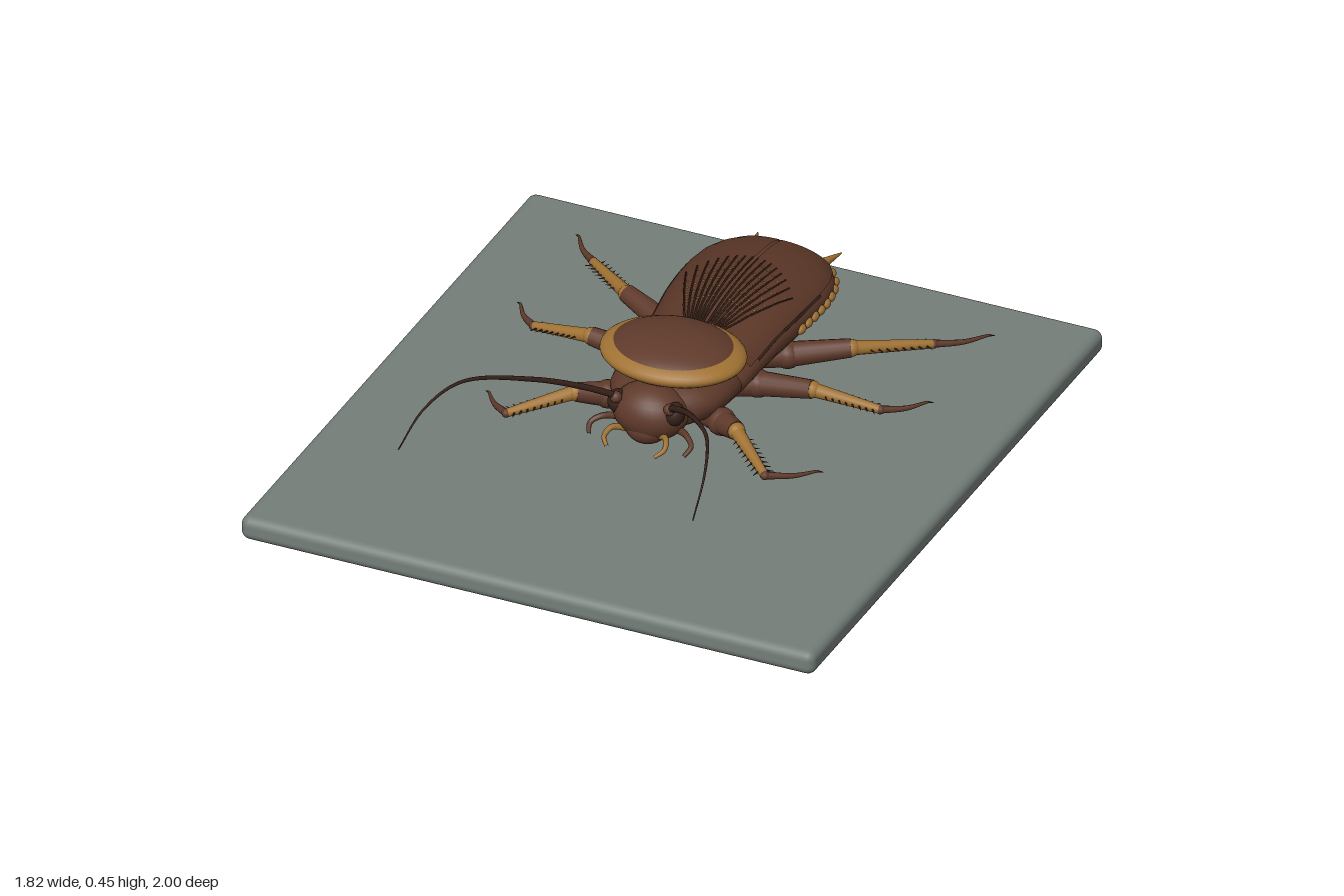
import * as THREE from 'three';
import { RoundedBoxGeometry } from 'three/addons/geometries/RoundedBoxGeometry.js';

const V = (x, y, z) => new THREE.Vector3(x, y, z);
const mat = (name, color) => Object.assign(new THREE.MeshStandardMaterial({ color }), { name });

// Body stations: z, half width, bottom, top
const ABDOMEN = [
  [0.02, 0.15, 0.14, 0.25], [-0.1, 0.185, 0.125, 0.268], [-0.2, 0.187, 0.12, 0.275], [-0.3, 0.197, 0.12, 0.3],
  [-0.4, 0.21, 0.12, 0.312], [-0.5, 0.217, 0.12, 0.314], [-0.58, 0.219, 0.122, 0.31], [-0.65, 0.211, 0.126, 0.302],
  [-0.7, 0.193, 0.13, 0.292], [-0.74, 0.165, 0.14, 0.279], [-0.77, 0.125, 0.155, 0.263], [-0.785, 0.078, 0.175, 0.24],
  [-0.79, 0.001, 0.205, 0.207]];
const THORAX = [
  [0.155, 0.001, 0.2, 0.202], [0.15, 0.08, 0.16, 0.25], [0.125, 0.13, 0.14, 0.27], [0.07, 0.165, 0.13, 0.28],
  [0, 0.18, 0.125, 0.285], [-0.08, 0.185, 0.125, 0.275], [-0.1, 0.16, 0.14, 0.26], [-0.105, 0.001, 0.2, 0.202]];

// Point on the oval cross-section of a station
function ring([z, w, lo, hi], t, lift = 0) {
  const c = Math.cos(t), s = Math.sin(t), h = (hi - lo) / 2;
  return V((w + lift) * Math.sign(c) * Math.abs(c) ** 0.9, (lo + hi) / 2 + (h + lift) * s, z);
}

function stationAt(z) {
  let i = 0;
  while (i < ABDOMEN.length - 2 && ABDOMEN[i + 1][0] > z) i++;
  const a = ABDOMEN[i], b = ABDOMEN[i + 1], k = (z - a[0]) / (b[0] - a[0]);
  return a.map((v, j) => v + (b[j] - v) * k);
}

// Skin a row of stations, closed all round or over an angle range
function loft(stations, t0 = 0, t1 = Math.PI * 2, lift = 0, n = 32) {
  const closed = t1 - t0 > 6.2, cols = closed ? n : n + 1, pos = [], idx = [];
  stations.forEach(s => {
    for (let j = 0; j < cols; j++) pos.push(...ring(s, t0 + (t1 - t0) * j / n, lift).toArray());
  });
  for (let i = 0; i < stations.length - 1; i++) for (let j = 0; j < n; j++) {
    const a = i * cols + j, b = i * cols + (j + 1) % cols;
    idx.push(a, a + cols, b, b, a + cols, b + cols);
  }
  const g = new THREE.BufferGeometry();
  g.setAttribute('position', new THREE.Float32BufferAttribute(pos, 3));
  g.setIndex(idx);
  g.computeVertexNormals();
  return g;
}

// Tube that tapers from r0 to r1
function taperTube(points, r0, r1, seg = 30, sides = 8) {
  const curve = new THREE.CatmullRomCurve3(points);
  const g = new THREE.TubeGeometry(curve, seg, 1, sides), p = g.attributes.position, v = V(0, 0, 0);
  for (let i = 0; i < p.count; i++) {
    const k = Math.floor(i / (sides + 1)) / seg, c = curve.getPointAt(k);
    v.fromBufferAttribute(p, i).sub(c).multiplyScalar(r0 + (r1 - r0) * k).add(c);
    p.setXYZ(i, v.x, v.y, v.z);
  }
  return g;
}

export function createModel() {
  const root = new THREE.Group();
  root.name = 'cockroach';
  const brown = mat('brown shell', 0x5f3a2b), tan = mat('tan', 0xa07233);
  const dark = mat('dark brown', 0x38221a), slate = mat('slate', 0x747e79);
  const wingMat = mat('wing brown', 0x5a3627);
  wingMat.side = THREE.DoubleSide;

  const add = (name, geo, material, parent = root) => {
    const m = new THREE.Mesh(geo, material);
    m.name = name;
    parent.add(m);
    return m;
  };
  const ball = (name, p, rx, ry, rz, material, parent, n = 32) => {
    const m = add(name, new THREE.SphereGeometry(1, n, n / 2), material, parent);
    m.position.copy(p);
    m.scale.set(rx, ry, rz);
    return m;
  };
  const rod = (name, a, b, r0, r1, material, parent, sides = 14) => {
    const d = b.clone().sub(a);
    const m = add(name, new THREE.CylinderGeometry(r1, r0, d.length(), sides), material, parent);
    m.position.copy(a).addScaledVector(d, 0.5);
    m.quaternion.setFromUnitVectors(V(0, 1, 0), d.normalize());
    return m;
  };

  // Display slab
  add('base', new RoundedBoxGeometry(1.82, 0.076, 2, 4, 0.028), slate).position.y = 0.038;

  // Body, shield and head
  add('abdomen', loft(ABDOMEN), brown);
  add('thorax', loft(THORAX), brown);
  ball('shieldRim', V(0, 0.31, -0.01), 0.22, 0.053, 0.176, tan, root, 48);
  ball('shieldDome', V(0, 0.31, -0.01), 0.203, 0.065, 0.165, brown, root, 48);
  ball('head', V(0, 0.2, 0.145), 0.115, 0.085, 0.09, brown);
  ball('face', V(0, 0.16, 0.17), 0.065, 0.05, 0.06, brown);

  // Leg joints: body, hip, knee, ankle, toe; all for the left side
  const legs = {
    front: [V(0.1, 0.15, 0.0), V(0.18, 0.155, 0.05), V(0.255, 0.175, 0.11), V(0.41, 0.142, 0.25), V(0.52, 0.118, 0.13)],
    middle: [V(0.1, 0.15, -0.16), V(0.18, 0.145, -0.2), V(0.35, 0.165, -0.205), V(0.55, 0.13, -0.238), V(0.645, 0.115, -0.355)],
    hind: [V(0.1, 0.15, -0.33), V(0.19, 0.145, -0.38), V(0.355, 0.165, -0.46), V(0.54, 0.135, -0.625), V(0.65, 0.115, -0.765)],
  };

  for (const s of [1, -1]) {
    const side = s > 0 ? 'left' : 'right';
    const P = (x, y, z) => V(s * x, y, z);
    const M = p => P(p.x, p.y, p.z);

    // Folded wing with raised veins and dotted rows
    const wingRows = [-0.15, -0.22, -0.3, -0.4, -0.5, -0.58, -0.65, -0.7, -0.74].map(stationAt);
    const [a, b] = s > 0 ? [0.38, Math.PI / 2 - 0.015] : [Math.PI / 2 + 0.015, Math.PI - 0.38];
    add(side + 'Wing', loft(wingRows, a, b, 0.005, 16), wingMat);
    const onWing = (x, z) => {
      const st = stationAt(z), c = (x / (st[1] + 0.005)) ** (1 / 0.9);
      return M(ring(st, Math.acos(c), 0.006));
    };
    for (let i = 0; i < 8; i++) {
      const f = i / 7, x0 = 0.008 + 0.03 * f, x1 = 0.008 + 0.16 * f, zEnd = -0.57 + 0.11 * f * f;
      const at = k => onWing(x0 + (x1 - x0) * k ** 0.8, -0.19 + (zEnd + 0.19) * k);
      const path = [0, 0.2, 0.4, 0.6, 0.8, 1].map(at);
      add(side + 'WingVein', taperTube(path, 0.0035, 0.0025, 20, 5), dark);
      if (i > 1) for (let k = 0.4; k < 1; k += 0.13)
        ball(side + 'WingDot', at(k).add(P(-0.009, 0.001, 0)), 0.006, 0.003, 0.003, tan, root, 8);
    }
    add(side + 'WingEdge', taperTube([-0.2, -0.3, -0.4, -0.5, -0.56].map(z => M(ring(stationAt(z), 0.33, 0.003))), 0.004, 0.003), dark);

    // Beads along the abdomen edge and the tail spikes
    for (let i = 0; i < 9; i++) {
      const z = -0.43 - i * 0.039, st = stationAt(z);
      ball(side + 'EdgeBead', P(st[1] - 0.002, 0.208, z), 0.014, 0.015, 0.021, tan, root, 14);
    }
    rod(side + 'TailSpike', P(0.098, 0.205, -0.745), P(0.133, 0.2, -0.872), 0.024, 0.002, tan);

    // Eye, feeler and mouthparts
    ball(side + 'Eye', P(0.09, 0.225, 0.175), 0.03, 0.036, 0.034, dark, root, 20);
    ball(side + 'FeelerSocket', P(0.085, 0.252, 0.2), 0.018, 0.018, 0.018, brown, root, 16);
    add(side + 'Feeler', taperTube([P(0.08, 0.25, 0.19), P(0.145, 0.3, 0.26), P(0.255, 0.378, 0.4), P(0.39, 0.445, 0.6),
      P(0.445, 0.415, 0.74), P(0.467, 0.343, 0.865)], 0.011, 0.002, 50), dark);
    add(side + 'Palp', taperTube([P(0.05, 0.15, 0.19), P(0.085, 0.165, 0.225), P(0.095, 0.15, 0.26),
      P(0.075, 0.135, 0.285)], 0.011, 0.006), tan);
    add(side + 'OuterPalp', taperTube([P(0.09, 0.16, 0.15), P(0.135, 0.17, 0.19), P(0.16, 0.155, 0.215),
      P(0.15, 0.135, 0.245)], 0.012, 0.006), brown);

    // Legs
    for (const [name, joints] of Object.entries(legs)) {
      const leg = new THREE.Group();
      leg.name = side + name[0].toUpperCase() + name.slice(1) + 'Leg';
      root.add(leg);
      const [body, hip, knee, ankle, toe] = joints.map(M);
      rod('hip', body, hip, 0.042, 0.038, brown, leg);
      ball('hipJoint', hip, 0.043, 0.042, 0.043, brown, leg, 20);
      rod('thigh', hip, knee, 0.038, 0.028, brown, leg);
      ball('kneeJoint', knee, 0.027, 0.026, 0.027, tan, leg, 16);
      rod('shin', knee, ankle, 0.022, 0.013, tan, leg);
      ball('ankleJoint', ankle, 0.014, 0.014, 0.014, brown, leg, 12);
      const bend = ankle.clone().lerp(toe, 0.5).add(P(0.008, -0.004, 0.004));
      add('foot', taperTube([ankle, bend, toe], 0.012, 0.004, 12), brown, leg);

      // Paired spines along the shin
      const dir = ankle.clone().sub(knee).normalize();
      const out = V(dir.z, 0, -dir.x).normalize();
      for (let i = 0; i < 8; i++) for (const e of [1, -1]) {
        const p = knee.clone().lerp(ankle, 0.2 + i * 0.1).addScaledVector(out, e * 0.011);
        const tip = p.clone().addScaledVector(out, e * 0.022).addScaledVector(dir, 0.012);
        rod('spine', p, tip, 0.0035, 0.0005, dark, leg, 5);
      }
      // Toe claws
      const ahead = toe.clone().sub(ankle).normalize();
      for (const e of [1, -1])
        rod('claw', toe, toe.clone().addScaledVector(ahead, 0.014).add(V(e * 0.006, -0.003, 0)), 0.004, 0.001, dark, leg, 6);
    }
  }
  return root;
}
